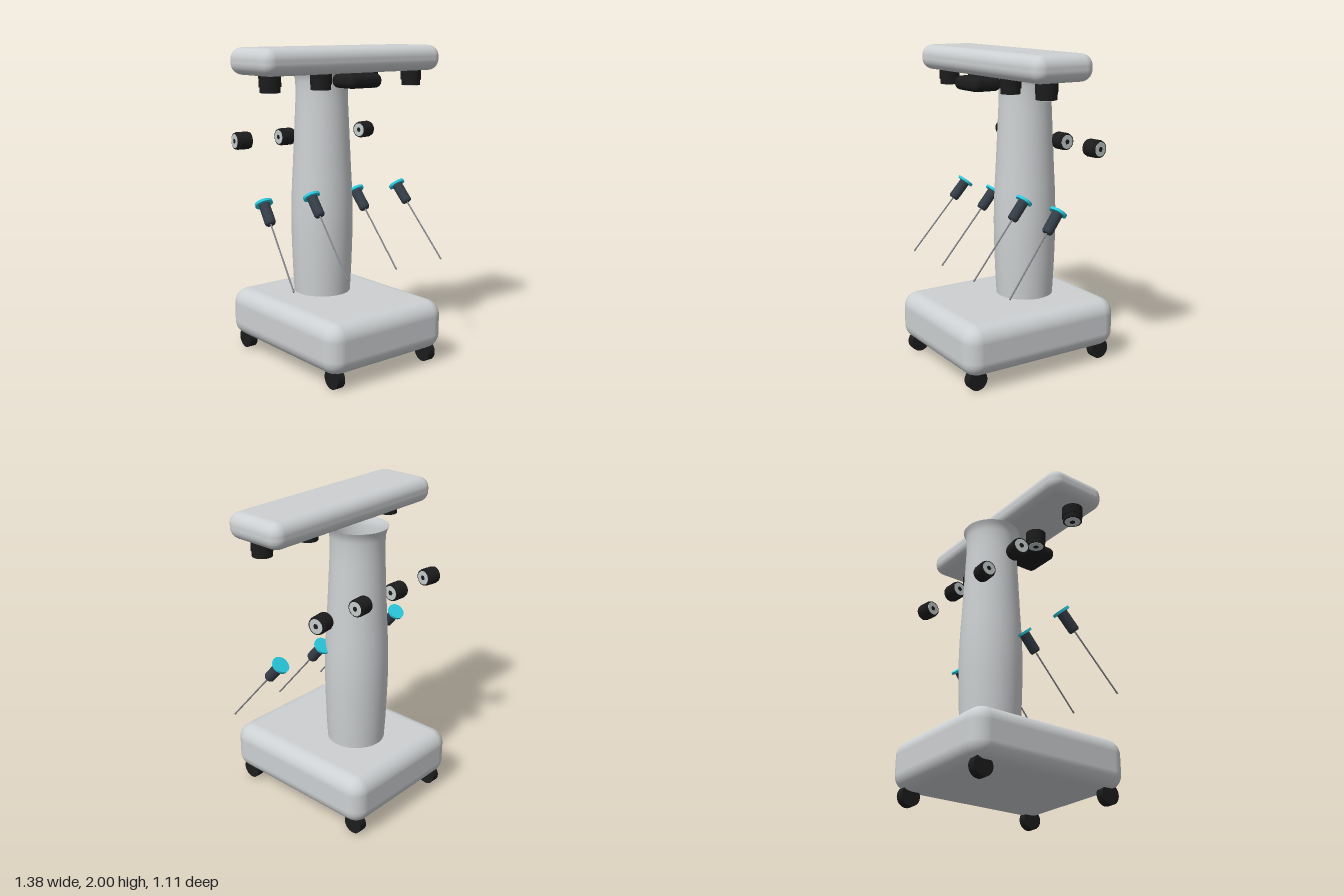
import * as THREE from 'three';
import { RoundedBoxGeometry } from 'three/addons/geometries/RoundedBoxGeometry.js';

const paint = (name, color, side = THREE.FrontSide) => {
  const m = new THREE.MeshStandardMaterial({ color, side });
  m.name = name;
  return m;
};

export function createModel() {
  const shell = paint('pale grey shell', 0xcdd0d2, THREE.DoubleSide);
  const black = paint('black housing', 0x1c1c1d);
  const plate = paint('light plate', 0xc4cccb);
  const slate = paint('slate grip', 0x343d46);
  const cyan = paint('cyan disc', 0x2accE2);
  const steel = paint('steel shaft', 0x85878c);

  const model = new THREE.Group();
  model.name = 'surgicalCart';

  const add = (parent, name, geometry, material, x = 0, y = 0, z = 0) => {
    const mesh = new THREE.Mesh(geometry, material);
    mesh.name = name;
    mesh.position.set(x, y, z);
    parent.add(mesh);
    return mesh;
  };
  const group = (parent, name, x, y, z) => {
    const g = new THREE.Group();
    g.name = name;
    g.position.set(x, y, z);
    parent.add(g);
    return g;
  };
  const cyl = (rTop, rBottom, h, sides = 32) => new THREE.CylinderGeometry(rTop, rBottom, h, sides);

  // Base, head and the grip under the head
  add(model, 'base', new RoundedBoxGeometry(0.92, 0.32, 1.11, 6, 0.1), shell, 0, 0.25, 0);
  add(model, 'head', new RoundedBoxGeometry(1.38, 0.16, 0.414, 6, 0.07), shell, 0, 1.92, 0.046);
  add(model, 'headGrip', new RoundedBoxGeometry(0.256, 0.086, 0.2, 5, 0.038), black, 0, 1.797, 0.213);

  // Swelling column with a flared open top
  const curve = new THREE.SplineCurve([
    [0.183, 0.4], [0.193, 0.6], [0.2, 0.85], [0.197, 1.05], [0.187, 1.25],
    [0.175, 1.5], [0.167, 1.68], [0.168, 1.77], [0.174, 1.81], [0.187, 1.842],
  ].map(([r, y]) => new THREE.Vector2(r, y)));
  add(model, 'column', new THREE.LatheGeometry(curve.getPoints(48), 48), shell, 0, 0, -0.135);

  // Castors
  for (const x of [-0.372, 0.372]) {
    for (const z of [-0.463, 0.463]) {
      add(model, 'castor', cyl(0.064, 0.064, 0.055), black, x, 0.064, z).rotation.z = Math.PI / 2;
    }
  }

  // Drum-shaped joint with a narrower collar and a plate on each end
  function joint(parent, name, r, length, y, z) {
    const g = group(parent, name, 0, y, z);
    add(g, 'jointDrum', cyl(r, r, length * 0.72), black);
    add(g, 'jointCollar', cyl(r * 0.92, r * 0.92, length), black);
    for (const s of [-1, 1]) {
      add(g, 'jointPlate', cyl(r * 0.8, r * 0.8, 0.004), plate, 0, s * length / 2, 0);
      add(g, 'jointHub', cyl(r * 0.3, r * 0.3, 0.006, 6), black, 0, s * length / 2, 0);
    }
    return g;
  }

  // Instrument with its disc at the origin and its shaft along -y
  function instrument(parent) {
    const g = group(parent, 'instrument', 0, 1.072, -0.105);
    g.rotation.x = -0.697;
    add(g, 'instrumentDisc', cyl(0.055, 0.055, 0.016), cyan, 0, 0, 0);
    add(g, 'instrumentGrip', cyl(0.034, 0.034, 0.125, 16), slate, 0, -0.07, 0);
    add(g, 'gripEnd', cyl(0.034, 0.028, 0.012, 16), slate, 0, -0.1385, 0);
    add(g, 'instrumentShaft', cyl(0.005, 0.005, 0.45, 10), steel, 0, -0.365, 0);
    add(g, 'instrumentTip', cyl(0.006, 0.005, 0.014, 10), steel, 0, -0.587, 0);
  }

  // Four arm stations, fanned outwards
  for (const side of [-1, 1]) {
    for (const [x, yaw] of [[0.185, 0.05], [0.557, 0.149]]) {
      const arm = group(model, side > 0 ? 'leftArm' : 'rightArm', side * x, 0, 0.095);
      arm.rotation.y = side * yaw;
      // Shoulder hangs from the head
      const shoulder = group(arm, 'shoulder', 0, 0, 0);
      add(shoulder, 'shoulderDrum', cyl(0.066, 0.066, 0.068), black, 0, 1.81, 0);
      add(shoulder, 'shoulderCollar', cyl(0.061, 0.061, 0.034), black, 0, 1.76, 0);
      add(shoulder, 'shoulderPlate', cyl(0.05, 0.05, 0.004), plate, 0, 1.742, 0);
      add(shoulder, 'shoulderHub', cyl(0.019, 0.019, 0.006, 6), black, 0, 1.742, 0);
      // Elbow lies across the arm
      joint(arm, 'elbow', 0.055, 0.1, 1.42, -0.403).rotation.z = Math.PI / 2;
      instrument(arm);
    }
  }
  return model;
}
